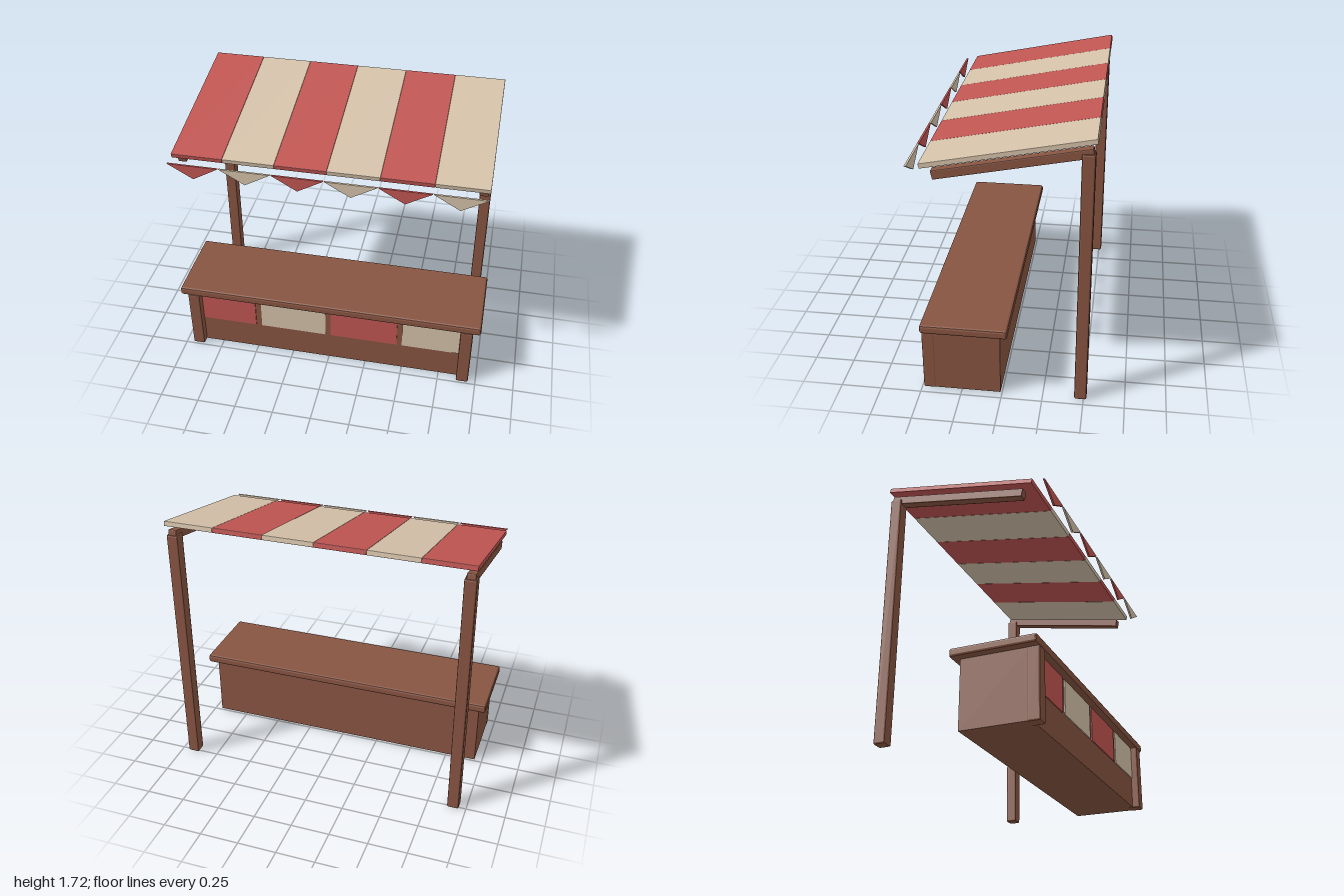
import * as THREE from 'three';
import { RoundedBoxGeometry } from 'three/addons/geometries/RoundedBoxGeometry.js';

export function createModel() {
  const stall = new THREE.Group();
  stall.name = 'marketStall';

  const material = (name, color) => {
    const m = new THREE.MeshStandardMaterial({ color });
    m.name = name;
    return m;
  };
  const wood = material('wood', 0x875441);
  const red = material('redCloth', 0xbf5552);
  const cream = material('creamCloth', 0xd3c0a8);
  const cloth = (i) => (i % 2 ? cream : red);

  const add = (name, geometry, mat, x, y, z, tilt = 0) => {
    const mesh = new THREE.Mesh(geometry, mat);
    mesh.name = name;
    mesh.position.set(x, y, z);
    mesh.rotation.x = tilt;
    stall.add(mesh);
    return mesh;
  };

  // Box with faceted, slightly worn edges
  const beam = (w, h, d, bevel = 0.01) => {
    const g = new RoundedBoxGeometry(w, h, d, 1, bevel);
    g.computeVertexNormals();
    return g;
  };

  // Counter
  add('counterBody', new THREE.BoxGeometry(1.9, 0.43, 0.43), wood, 0, 0.22, 0.225);
  add('counterTop', beam(2, 0.055, 0.53, 0.014), wood, 0, 0.458, 0.225);

  // Cloth panels on the counter front
  const panels = [[-0.87, -0.5], [-0.46, -0.02], [0.015, 0.46], [0.495, 0.87]];
  panels.forEach(([x0, x1], i) => {
    add('frontPanel', new THREE.BoxGeometry(x1 - x0, 0.218, 0.008), cloth(i),
      (x0 + x1) / 2, 0.319, 0.443);
  });

  // Mirrored posts and sloping rafters
  const slope = 0.2;
  for (const side of [-1, 1]) {
    add('counterPost', beam(0.08, 0.435, 0.08), wood, side * 0.912, 0.2175, 0.45);
    add('rearPost', beam(0.075, 1.63, 0.075), wood, side * 0.917, 0.815, -0.481);
    add('rafter', beam(0.055, 0.056, 0.91, 0.006), wood, side * 0.918, 1.545, -0.064, slope);
  }

  // Striped canopy with a row of hanging pennants
  const stripe = 0.319;
  const triangle = new THREE.Shape([
    new THREE.Vector2(-0.157, 0), new THREE.Vector2(0, -0.09), new THREE.Vector2(0.157, 0),
  ]);
  const pennant = new THREE.ExtrudeGeometry(triangle, { depth: 0.012, bevelEnabled: false });
  for (let i = 0; i < 6; i++) {
    const x = (i - 2.5) * stripe;
    add('canopyStripe', beam(stripe, 0.03, 0.995, 0.003), cloth(i), x, 1.61, -0.04, slope);
    add('pennant', pennant, cloth(i), x, 1.506, 0.517);
  }

  return stall;
}
